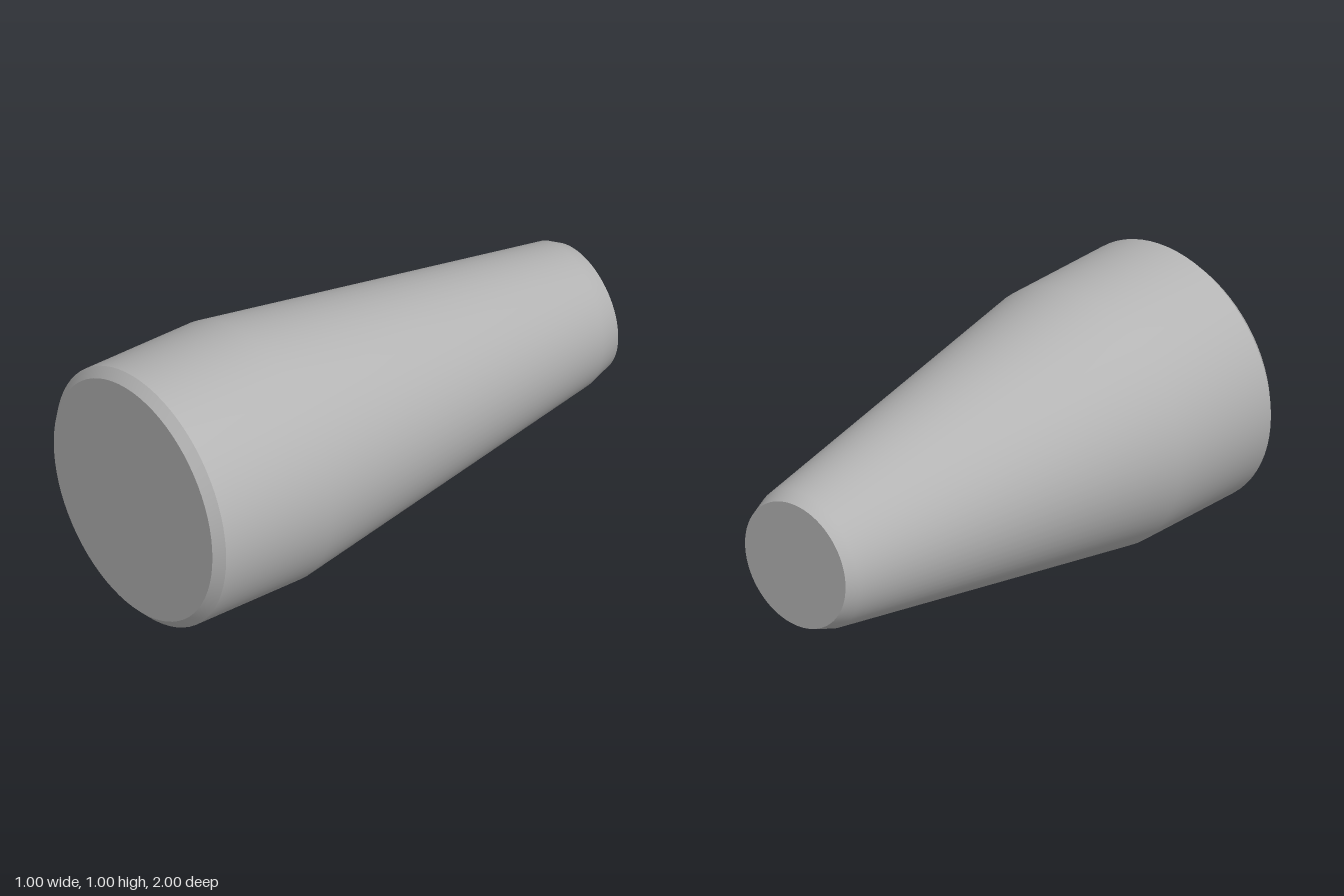
import * as THREE from 'three';
import { toCreasedNormals } from 'three/addons/utils/BufferGeometryUtils.js';

const R = 0.4985;          // radius of the straight barrel
const SHOULDER = 0.49;     // z where the taper starts
const RIM = -0.93;         // mean z of the slanted rim near the narrow end
const coneRadius = (z) => R - 0.16 * (SHOULDER - z);

export function createModel() {
  const group = new THREE.Group();
  group.name = 'taperedPlug';
  const grey = new THREE.MeshStandardMaterial({ color: 0xb4b4b4 });
  grey.name = 'grey';

  // Profile from the narrow back end to the chamfered front, turned to lie along z
  const profile = [
    [0, -1], [0.244, -1], [coneRadius(RIM), RIM], [R, SHOULDER],
    [R, 0.965], [0.4635, 1], [0, 1],
  ].map(([r, z]) => new THREE.Vector2(r, z));
  const geometry = new THREE.LatheGeometry(profile, 72);
  geometry.rotateX(Math.PI / 2);

  // Slant the back rim a little, keeping it on the cone
  const pos = geometry.attributes.position;
  for (let i = 0; i < pos.count; i++) {
    if (Math.abs(pos.getZ(i) - RIM) > 1e-4) continue;
    const x = pos.getX(i), y = pos.getY(i);
    const z = RIM + 0.09 * x - 0.07 * y;
    const s = coneRadius(z) / Math.hypot(x, y);
    pos.setXYZ(i, x * s, y * s, z);
  }

  // Smooth sides, sharp chamfer and end faces
  const body = new THREE.Mesh(toCreasedNormals(geometry, 0.6), grey);
  body.name = 'taperedBody';
  body.position.y = 0.5;
  group.add(body);
  return group;
}
